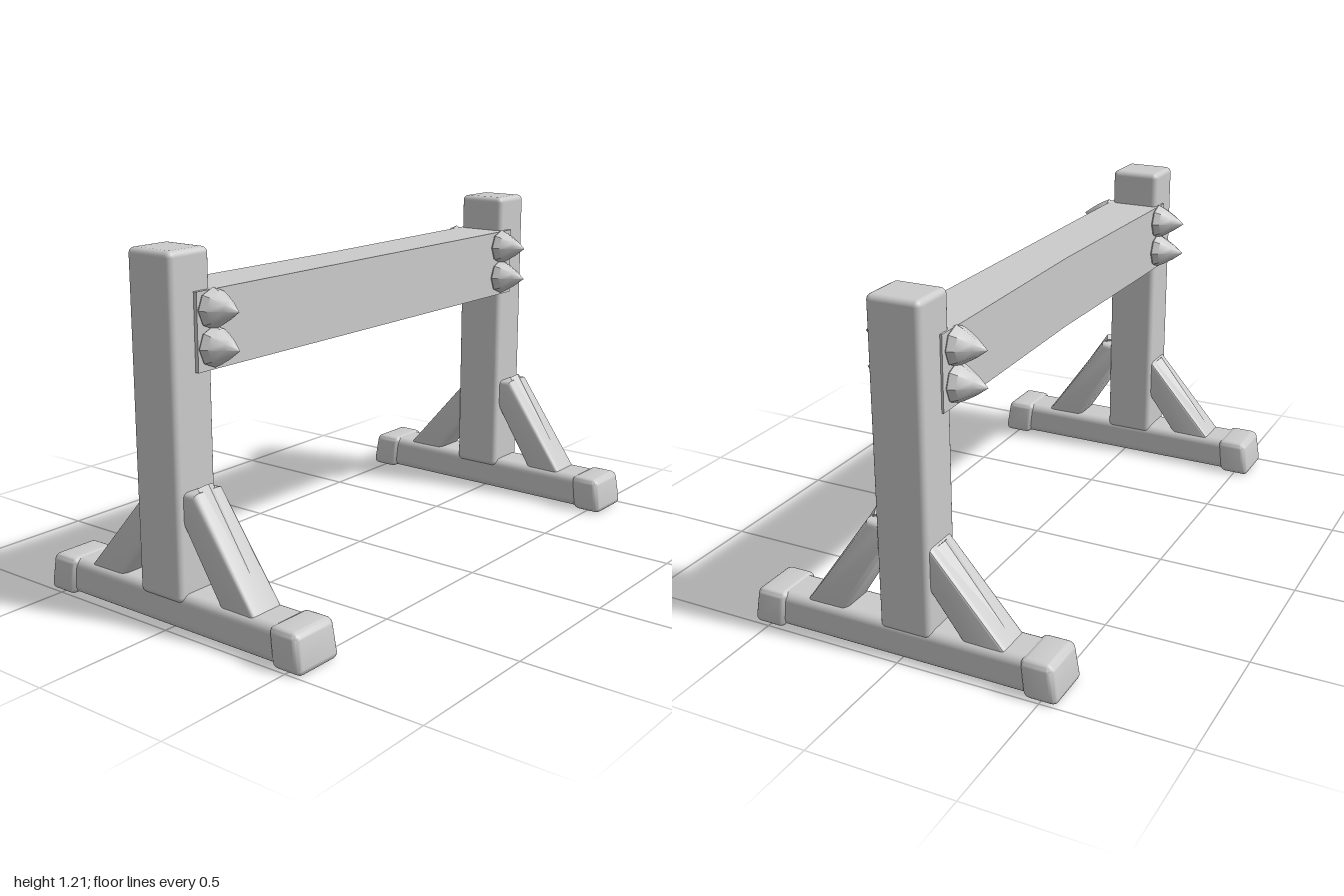
import * as THREE from 'three';
import { toCreasedNormals } from 'three/addons/utils/BufferGeometryUtils.js';
import { RoundedBoxGeometry } from 'three/addons/geometries/RoundedBoxGeometry.js';

const grey = new THREE.MeshStandardMaterial({ color: 0xcccccc });

function add(parent, name, geometry, x = 0, y = 0, z = 0) {
  const mesh = new THREE.Mesh(geometry, grey);
  mesh.name = name;
  mesh.position.set(x, y, z);
  parent.add(mesh);
  return mesh;
}

// Moves every vertex by a rule and refreshes the normals
function deform(geometry, rule) {
  const p = geometry.attributes.position;
  const v = new THREE.Vector3();
  for (let i = 0; i < p.count; i++) {
    rule(v.fromBufferAttribute(p, i));
    p.setXYZ(i, v.x, v.y, v.z);
  }
  return toCreasedNormals(geometry, 0.7);
}

// Side profile in [z, y], bevelled and extruded across x
function braceGeometry(points, width) {
  const bevel = 0.018;
  const shape = new THREE.Shape(points.map(([z, y]) => new THREE.Vector2(z, y)));
  const geometry = new THREE.ExtrudeGeometry(shape, {
    depth: width - 2 * bevel, bevelSize: bevel, bevelOffset: -bevel,
    bevelThickness: bevel, bevelSegments: 3,
  });
  geometry.translate(0, 0, bevel - width / 2).rotateY(-Math.PI / 2);
  return toCreasedNormals(geometry, 0.6);
}

// Thin raised splinter tapering from its top to its tip
function addSplinter(parent, [z0, y0], [z1, y1]) {
  const dz = z1 - z0, dy = y1 - y0;
  const geometry = new THREE.ConeGeometry(0.035, Math.hypot(dz, dy), 4);
  geometry.scale(1, 1, 0.5);
  const mesh = add(parent, 'splinter', toCreasedNormals(geometry, 0.3), 0, (y0 + y1) / 2, (z0 + z1) / 2);
  mesh.rotation.x = Math.atan2(dz, dy);
}

// Pointed, faceted stud facing +z; a chipped one has a dent in one side
function studGeometry(chipped) {
  const profile = [[0.056, -0.01], [0.066, 0.006], [0.055, 0.03], [0.03, 0.072], [0, 0.112]]
    .map(([r, h]) => new THREE.Vector2(r, h));
  const geometry = new THREE.LatheGeometry(profile, 8);
  geometry.rotateX(Math.PI / 2);
  return deform(geometry, v => {
    if (chipped && v.x > 0.015 && Math.abs(v.y) < 0.01) v.x *= 0.35;
  });
}

function createStand() {
  const stand = new THREE.Group();
  add(stand, 'post', new RoundedBoxGeometry(0.17, 1.11, 0.185, 3, 0.02), -0.005, 0.655, -0.023);
  add(stand, 'footRail', new RoundedBoxGeometry(0.16, 0.125, 0.96, 3, 0.03), 0, 0.066, 0);

  // Sleeves on both ends of the foot, flared outward at the bottom
  for (const s of [1, -1]) {
    const cap = deform(new RoundedBoxGeometry(0.186, 0.132, 0.115, 3, 0.022), v => {
      if (s * v.z > 0) v.z -= s * v.y * 0.16;
      else v.z -= s * v.y * 0.12;
      if (v.y > 0) v.x *= 0.97;
    });
    add(stand, 'footCap', cap, 0, 0.066, s * 0.492);
  }

  // Diagonal braces with a split surface
  add(stand, 'frontBrace', braceGeometry(
    [[0.365, 0.11], [0.115, 0.465], [0.05, 0.46], [0.05, 0.37], [0.215, 0.11]], 0.13));
  addSplinter(stand, [0.1, 0.475], [0.285, 0.225]);
  add(stand, 'backBrace', braceGeometry(
    [[-0.385, 0.11], [-0.09, 0.445], [-0.09, 0.29], [-0.225, 0.11]], 0.13));
  addSplinter(stand, [-0.12, 0.41], [-0.34, 0.165]);
  return stand;
}

export function createModel() {
  const model = new THREE.Group();
  model.name = 'hurdle';

  for (const s of [-1, 1]) {
    const stand = createStand();
    stand.name = s > 0 ? 'leftStand' : 'rightStand';
    stand.position.x = s * 0.905;
    model.add(stand);
  }

  // Crossbeam, worn slightly thinner at the middle of the back
  const beam = deform(new THREE.BoxGeometry(1.775, 0.25, 0.205, 12, 1, 1), v => {
    if (v.z < 0) v.z += 0.016 * Math.max(0, 1 - Math.abs(v.x) / 0.85);
  });
  add(model, 'crossbeam', beam, -0.013, 0.955, -0.02);

  // Two studs on each face at both ends of the beam
  for (const x of [-0.835, 0.795]) {
    for (const y of [0.903, 1.022]) {
      const chipped = x > 0 && y > 1;
      add(model, 'frontStud', studGeometry(chipped), x, y, 0.083);
      add(model, 'backStud', studGeometry(false), x, y, -0.12).rotation.y = Math.PI;
    }
  }
  return model;
}
